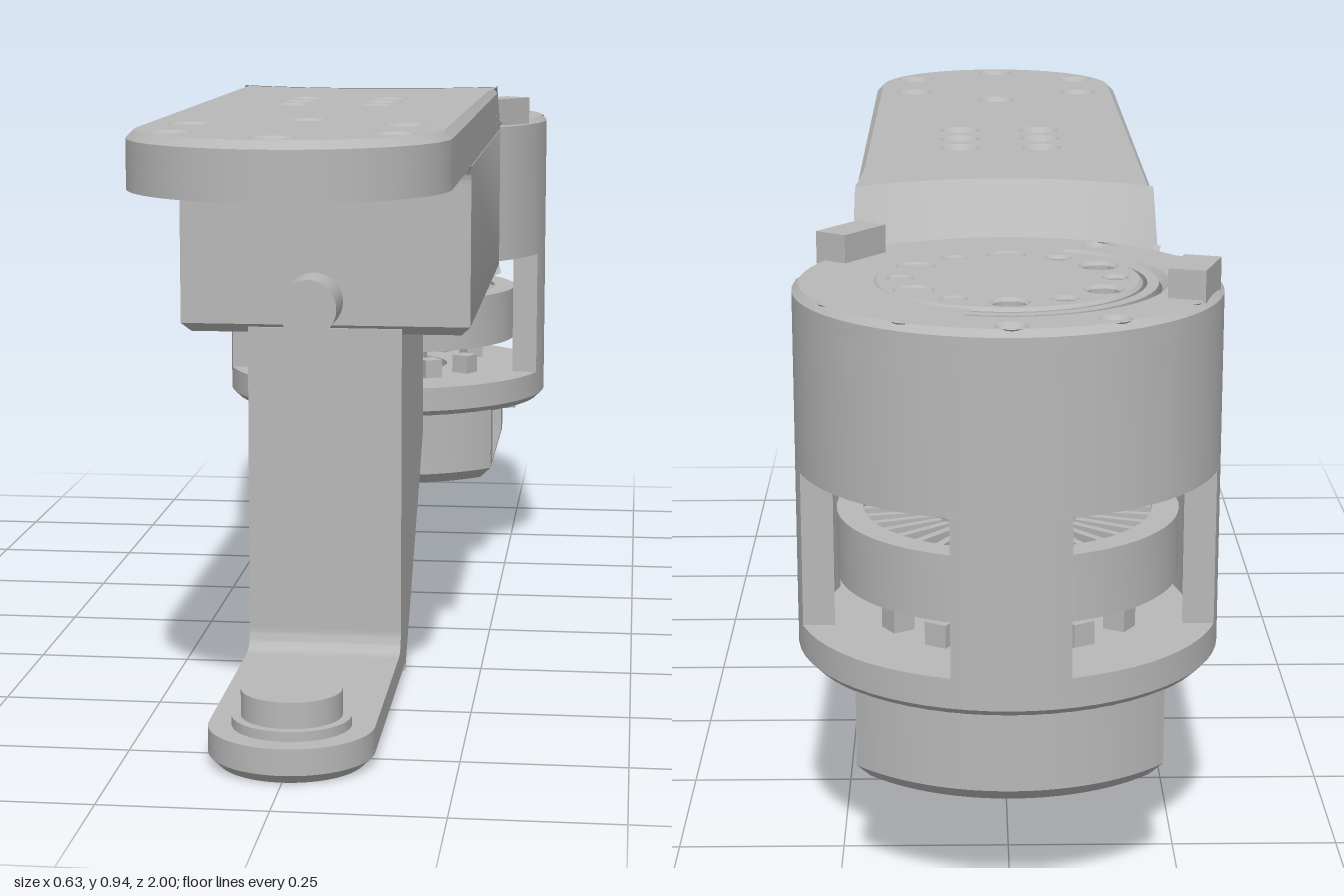
import * as THREE from 'three';
import { toCreasedNormals } from 'three/addons/utils/BufferGeometryUtils.js';

const PI = Math.PI;
const HW = 0.235;        // arm half width
const MOTOR_Z = -0.685;  // motor axis

export function createModel() {
  const model = new THREE.Group();
  model.name = 'poweredArm';
  const metal = new THREE.MeshStandardMaterial({ color: 0xb8b8b8, side: THREE.DoubleSide });
  metal.name = 'grey metal';

  const add = (name, geo, parent = model) => {
    const m = new THREE.Mesh(geo, metal);
    m.name = name;
    parent.add(m);
    return m;
  };

  // Plan outlines use (x, -z); the slab rises from y0 to y1 with chamfer b
  const slab = (shape, y0, y1, b = 0) => {
    const g = new THREE.ExtrudeGeometry(shape, {
      depth: y1 - y0 - 2 * b, bevelEnabled: b > 0, bevelThickness: b, bevelSize: b,
      bevelOffset: -b, bevelSegments: 1, curveSegments: 32,
    });
    g.rotateX(-PI / 2).translate(0, y0 + b, 0);
    return toCreasedNormals(g, 0.5);
  };
  const hole = (shape, x, z, r, sides = 0) => {
    const p = new THREE.Path();
    if (sides) {
      p.setFromPoints(Array.from({ length: sides }, (_, i) => new THREE.Vector2(
        x + r * Math.cos(i * 2 * PI / sides), -z + r * Math.sin(i * 2 * PI / sides))));
      p.closePath();
    } else p.absarc(x, -z, r, 0, 2 * PI, true);
    shape.holes.push(p);
  };
  const disc = (r, inner = 0) => {
    const s = new THREE.Shape().absarc(0, 0, r, 0, 2 * PI, false);
    if (inner) hole(s, 0, 0, inner);
    return s;
  };
  const tube = (name, r, y0, y1, parent, sides = 32) => {
    const m = add(name, new THREE.CylinderGeometry(r, r, y1 - y0, sides), parent);
    m.position.y = (y0 + y1) / 2;
    return m;
  };
  const ringHoles = (shape, count, r, size) => {
    for (let i = 0; i < count; i++) {
      const a = i * 2 * PI / count;
      hole(shape, r * Math.sin(a), r * Math.cos(a), size(i));
    }
  };
  // Concave fillet running along x, in the corner at (y, z)
  const fillet = (name, y, z, dir, r, width) => {
    const s = new THREE.Shape();
    s.moveTo(0, 0).lineTo(-r, 0).quadraticCurveTo(0, 0, 0, dir * r).lineTo(0, 0);
    const g = new THREE.ExtrudeGeometry(s, { depth: width, bevelEnabled: false });
    g.rotateY(PI / 2).translate(-width / 2, y, z);
    add(name, toCreasedNormals(g, 0.5));
  };

  // ---- Arm: rear end is hollowed around the motor ----
  const rearZ = (x, r) => MOTOR_Z + Math.sqrt(r * r - x * x);
  const armOutline = (rear, rounded) => {
    const s = new THREE.Shape(), end = -rearZ(HW, rear);
    const a = Math.atan2(-MOTOR_Z - end, HW);
    s.moveTo(-HW, end);
    if (rounded) s.lineTo(-HW, -0.765).absarc(0, -0.765, HW, PI, 2 * PI, false);
    else s.lineTo(-HW, -0.36).lineTo(HW, -0.36);
    s.lineTo(HW, end).absarc(0, -MOTOR_Z, rear, -a, -PI + a, true);
    return s;
  };
  const clampHoles = [], plateHoles = [[0, 0.94], [0, 0.575]];
  for (const x of [-1, 1]) {
    for (const z of [0.03, 0.12, 0.21]) clampHoles.push([x * 0.07, z]);
    for (const z of [0.67, 0.845]) plateHoles.push([x * 0.16, z]);
  }
  const drill = (shape, list, r) => { list.forEach(([x, z]) => hole(shape, x, z, r)); return shape; };
  const allHoles = [...clampHoles, ...plateHoles];
  add('armTopPlate', slab(drill(armOutline(0.405, true), allHoles, 0.022), 0.885, 0.94, 0.012));
  add('armLowerPlate', slab(drill(armOutline(0.405, true), allHoles, 0.016), 0.855, 0.9));
  add('armBody', slab(drill(armOutline(0.318, false), clampHoles, 0.016), 0.58, 0.868, 0.015));
  fillet('armFillet', 0.855, 0.36, -1, 0.03, 2 * HW);

  // Conical slope from the arm top down to the motor
  const pos = [], idx = [], N = 24;
  for (let i = 0; i <= N; i++) {
    const x = -HW + 2 * HW * i / N;
    pos.push(x, 0.855, rearZ(x, 0.318), x, 0.94, rearZ(x, 0.405), x, 0.855, rearZ(x, 0.405));
    const k = 3 * i;
    if (i < N) idx.push(k, k + 1, k + 3, k + 1, k + 4, k + 3);
  }
  idx.push(0, 2, 1, 3 * N, 3 * N + 1, 3 * N + 2);
  const slope = new THREE.BufferGeometry();
  slope.setAttribute('position', new THREE.Float32BufferAttribute(pos, 3));
  slope.setIndex(idx);
  slope.computeVertexNormals();
  add('armSlope', toCreasedNormals(slope, 0.5));

  // ---- Leg: back half has a sloped underside with hexagonal nut pockets ----
  const back = new THREE.Shape();
  back.moveTo(-0.125, -0.28).lineTo(0.125, -0.28).lineTo(0.125, 0.05).lineTo(-0.125, 0.05);
  clampHoles.forEach(([x, z]) => hole(back, x, z, 0.035, 6));
  const legBack = slab(back, 0, 0.59).toNonIndexed();
  const p = legBack.attributes.position;
  for (let i = 0; i < p.count; i++) {
    if (p.getY(i) < 0.01) p.setY(i, (0.28 - p.getZ(i)) * 0.34 / 0.33);
  }
  add('legBack', toCreasedNormals(legBack, 0.5));
  add('legFront', new THREE.BoxGeometry(0.25, 0.575, 0.08)).position.set(0, 0.3025, 0.32);
  fillet('legFillet', 0.055, 0.36, 1, 0.035, 0.25);

  // ---- Foot ----
  const foot = new THREE.Shape();
  foot.moveTo(-0.125, -0.28).lineTo(-0.125, -0.765).absarc(0, -0.765, 0.125, PI, 2 * PI, false);
  foot.lineTo(0.125, -0.28);
  add('footSole', slab(foot, 0, 0.05, 0.015));
  add('footTop', slab(foot, 0.02, 0.055));
  tube('footPadBase', 0.09, 0.05, 0.07).position.z = 0.765;
  tube('footPad', 0.076, 0.07, 0.11).position.z = 0.765;

  // ---- Pin beneath the plate ----
  const pin = add('pin', new THREE.CylinderGeometry(0.045, 0.045, 0.09, 32));
  pin.rotation.x = PI / 2;
  pin.position.set(0, 0.652, 0.535);

  // ---- Motor ----
  const motor = new THREE.Group();
  motor.name = 'motor';
  motor.position.z = MOTOR_Z;
  model.add(motor);

  const cap = disc(0.315, 0.225), wall = disc(0.315, 0.262);
  ringHoles(cap, 12, 0.286, () => 0.014);
  ringHoles(wall, 12, 0.286, () => 0.014);
  add('shellCap', slab(cap, 0.825, 0.867, 0.01), motor);
  add('shellWall', slab(wall, 0.6, 0.85), motor);
  add('shellFloor', slab(disc(0.315, 0.12), 0.308, 0.36, 0.012), motor);
  add('shellSill', slab(disc(0.315, 0.12), 0.325, 0.365), motor);

  // Four columns between the windows
  const ao = Math.asin(0.085 / 0.315), ai = Math.asin(0.085 / 0.27);
  const column = new THREE.Shape();
  column.absarc(0, 0, 0.315, -ao, ao, false).absarc(0, 0, 0.27, ai, -ai, true);
  for (let i = 0; i < 4; i++) {
    add('shellColumn', slab(column, 0.36, 0.605), motor).rotation.y = i * PI / 2;
  }

  // Output rotor with alternating large and small bolt holes
  const face = disc(0.197);
  ringHoles(face, 12, 0.157, i => (i % 2 ? 0.015 : 0.025));
  add('rotorFace', slab(face, 0.84, 0.87, 0.005), motor);
  tube('rotorBody', 0.195, 0.6, 0.848, motor, 48);
  add('rotorCollar', slab(disc(0.22, 0.203), 0.6, 0.865), motor);
  tube('shaft', 0.08, 0.3, 0.61, motor);

  // Winding ring with spokes
  add('windingRing', slab(disc(0.255, 0.215), 0.425, 0.525), motor);
  add('windingHub', slab(disc(0.115, 0.075), 0.425, 0.525), motor);
  for (let i = 0; i < 36; i++) {
    const a = i * PI / 18;
    const spoke = add('windingSpoke', new THREE.BoxGeometry(0.012, 0.09, 0.12), motor);
    spoke.position.set(0.165 * Math.sin(a), 0.475, 0.165 * Math.cos(a));
    spoke.rotation.y = a;
  }

  // Small posts inside the windows
  for (let i = 0; i < 4; i++) {
    for (const d of [-1, 1]) {
      const a = PI / 4 + i * PI / 2 + d * 0.24;
      const post = add('windowPost', new THREE.BoxGeometry(0.035, 0.04, 0.035), motor);
      post.position.set(0.19 * Math.sin(a), 0.38, 0.19 * Math.cos(a));
      post.rotation.y = a;
    }
  }

  // Cable clips on the rim
  for (const [x, z] of [[-0.265, -0.085], [0.235, 0.17]]) {
    const clip = add('rimClip', new THREE.BoxGeometry(0.1, 0.05, 0.055), motor);
    clip.position.set(x, 0.885, z);
    clip.rotation.y = Math.atan2(x, z);
  }

  // Base: two curved end walls joined by a chamfered floor, open at the sides
  const c = Math.acos(0.222 / 0.305), w = Math.atan2(0.155, 0.17);
  const end = new THREE.Shape();
  end.absarc(0, 0, 0.305, c, PI - c, false).lineTo(-0.222, 0.155);
  end.absarc(0, 0, 0.23, PI - w, w, true).lineTo(0.222, 0.155);
  for (const a of [0, PI]) add('baseWall', slab(end, 0.198, 0.312), motor).rotation.y = a;
  const floor = new THREE.Shape();
  floor.absarc(0, 0, 0.305, c, PI - c, false).absarc(0, 0, 0.305, PI + c, 2 * PI - c, false);
  hole(floor, 0, 0, 0.12);
  add('baseFloor', slab(floor, 0.175, 0.22, 0.02), motor);
  add('baseRing', slab(disc(0.125, 0.095), 0.18, 0.215), motor);
  for (let i = 0; i < 8; i++) {
    const a = (i + 0.5) * PI / 4;
    const bolt = tube('baseBolt', 0.022, 0.298, 0.312, motor, 6);
    bolt.position.x = 0.265 * Math.sin(a);
    bolt.position.z = 0.265 * Math.cos(a);
  }
  return model;
}
